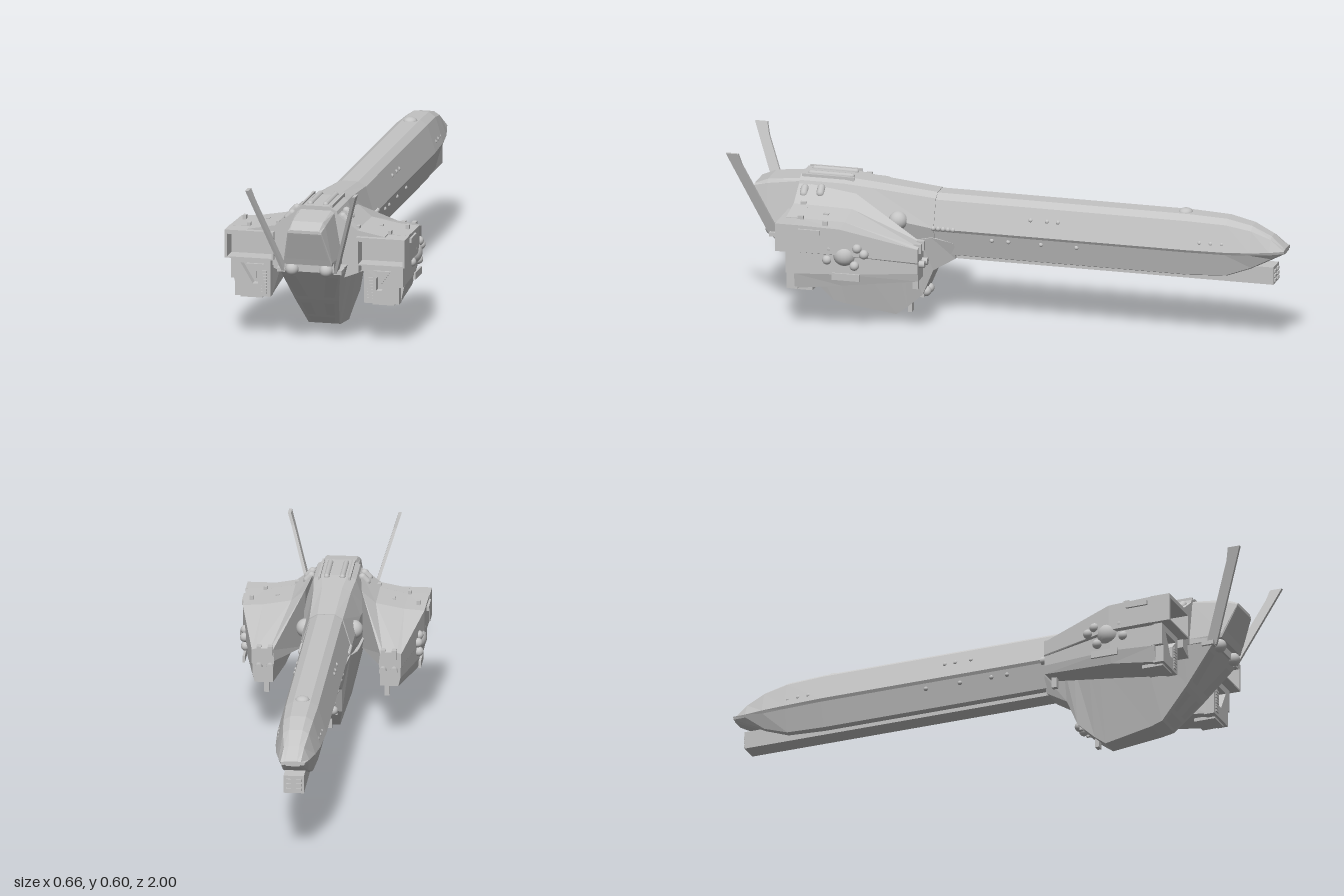
import * as THREE from 'three';

const hull = new THREE.MeshStandardMaterial({ color: 0xc4c4c4, flatShading: true });
hull.name = 'hull grey';
const panelGrey = new THREE.MeshStandardMaterial({ color: 0xc0c0c0, side: THREE.DoubleSide });
panelGrey.name = 'panel grey';
const smooth = new THREE.MeshStandardMaterial({ color: 0xc4c4c4 });
smooth.name = 'smooth grey';

function add(parent, name, geometry, material = hull, pos = [0, 0, 0]) {
  const mesh = new THREE.Mesh(geometry, material);
  mesh.name = name;
  mesh.position.set(...pos);
  parent.add(mesh);
  return mesh;
}
const box = (parent, name, x0, x1, y0, y1, z0, z1) =>
  add(parent, name, new THREE.BoxGeometry(x1 - x0, y1 - y0, z1 - z0), hull,
    [(x0 + x1) / 2, (y0 + y1) / 2, (z0 + z1) / 2]);
const ball = (parent, name, r, pos) => add(parent, name, new THREE.SphereGeometry(r, 20, 14), smooth, pos);

// Skin over outlines [z, points], z ascending, points counterclockwise seen from +z
function loft(sections) {
  const v = [];
  const n = sections[0][1].length;
  const P = (i, j) => [...sections[i][1][j % n], sections[i][0]];
  for (let i = 0; i + 1 < sections.length; i++)
    for (let j = 0; j < n; j++)
      v.push(...P(i, j), ...P(i, j + 1), ...P(i + 1, j + 1), ...P(i, j), ...P(i + 1, j + 1), ...P(i + 1, j));
  const cap = (i, flip) => {
    const pts = sections[i][1].map(p => new THREE.Vector2(...p));
    for (const f of THREE.ShapeUtils.triangulateShape(pts, []))
      for (const k of flip ? [f[0], f[2], f[1]] : f) v.push(...P(i, k));
  };
  cap(0, true);
  cap(sections.length - 1, false);
  const g = new THREE.BufferGeometry();
  g.setAttribute('position', new THREE.Float32BufferAttribute(v, 3));
  g.computeVertexNormals();
  return g;
}
// Right half outline, top to bottom, completed by its mirror image
const both = half => [...half.map(([x, y]) => [-x, y]), ...[...half].reverse()];
const symmetric = rows => loft(rows.map(([z, ...half]) => [z, both(half)]));
const clockwise = rows => loft(rows.map(([z, ...pts]) => [z, pts.reverse()]));

function extrude(points, depth, hole) {
  const shape = new THREE.Shape(points.map(p => new THREE.Vector2(...p)));
  if (hole) shape.holes.push(new THREE.Path(hole.map(p => new THREE.Vector2(...p))));
  return new THREE.ExtrudeGeometry(shape, { depth, bevelEnabled: false });
}

// Depth of the sloping nose at a height
const nose = [[0.04, 0.645], [0.15, 0.75], [0.31, 0.885], [0.436, 0.935]];
function noseZ(y) {
  let i = 0;
  while (i < 2 && y > nose[i + 1][0]) i++;
  const [a, b] = [nose[i], nose[i + 1]];
  return a[1] + (b[1] - a[1]) * (y - a[0]) / (b[0] - a[0]) + 0.004;
}
function nosePlate(parent, name, corners) {
  const p = corners.map(([x, y]) => [x, y, noseZ(y)]);
  const g = new THREE.BufferGeometry();
  g.setAttribute('position', new THREE.Float32BufferAttribute([0, 1, 2, 0, 2, 3].flatMap(i => p[i]), 3));
  g.computeVertexNormals();
  add(parent, name, g, panelGrey);
}

function buildSide() {
  const side = new THREE.Group();
  // Wing and pod in one skin, tapering to the rear
  add(side, 'wingPod', clockwise([
    [0.28, [0.19, 0.32], [0.2, 0.325], [0.25, 0.325], [0.265, 0.32], [0.265, 0.27], [0.262, 0.265],
      [0.262, 0.23], [0.255, 0.2], [0.19, 0.2], [0.19, 0.25], [0.185, 0.28]],
    [0.55, [0.1, 0.455], [0.15, 0.413], [0.25, 0.395], [0.322, 0.39], [0.322, 0.295], [0.31, 0.29],
      [0.31, 0.22], [0.297, 0.175], [0.17, 0.175], [0.165, 0.26], [0.1, 0.245]],
    [0.72, [0.08, 0.47], [0.15, 0.416], [0.25, 0.397], [0.325, 0.395], [0.325, 0.295], [0.31, 0.29],
      [0.31, 0.21], [0.297, 0.152], [0.17, 0.152], [0.17, 0.26], [0.1, 0.24]]]));
  add(side, 'wingRoot', clockwise([0.71, 0.765].map(z =>
    [z, [0.07, 0.475], [0.15, 0.416], [0.25, 0.397], [0.25, 0.39], [0.155, 0.38], [0.155, 0.262], [0.1, 0.24]])));
  // Open intake frame and lower pod front
  add(side, 'intakeFrame', extrude([[0.15, 0.293], [0.327, 0.293], [0.327, 0.395], [0.15, 0.395]], 0.075,
    [[0.157, 0.298], [0.157, 0.38], [0.319, 0.38], [0.319, 0.298]]), hull, [0, 0, 0.71]);
  add(side, 'podFront', extrude([[0.17, 0.15], [0.298, 0.15], [0.298, 0.212], [0.312, 0.212], [0.312, 0.295], [0.17, 0.295]],
    0.04, [[0.183, 0.27], [0.278, 0.27], [0.234, 0.196], [0.215, 0.196], [0.215, 0.24]]), hull, [0, 0, 0.71]);
  add(side, 'recessBracket', extrude([[0.2, 0.262], [0.262, 0.262], [0.225, 0.21], [0.225, 0.235]], 0.015), hull, [0, 0, 0.715]);
  for (let i = 0; i < 8; i++) {
    const y = 0.161 + i * 0.0108;
    box(side, 'ladderRung', 0.182, 0.204, y, y + 0.008, 0.745, 0.754);
  }
  box(side, 'podFoot', 0.2, 0.28, 0.143, 0.156, 0.66, 0.74);
  box(side, 'podEdgePlate', 0.322, 0.332, 0.365, 0.382, 0.62, 0.7);
  box(side, 'podSidePlate', 0.308, 0.316, 0.2, 0.225, 0.48, 0.58);
  // Domes on the pod flank
  ball(side, 'podDome', 0.043, [0.288, 0.29, 0.54]);
  for (const [y, z] of [[0.315, 0.59], [0.32, 0.49], [0.3, 0.465], [0.255, 0.5], [0.27, 0.6]])
    ball(side, 'podDomeSmall', 0.017, [0.307, y, z]);
  // Top hatches and studs
  for (const [x, z] of [[0.2, 0.62], [0.25, 0.7], [0.29, 0.6], [0.14, 0.72]])
    box(side, 'podStud', x, x + 0.012, 0.385, x < 0.15 ? 0.425 : 0.408, z, z + 0.02);
  // Rear pod fittings
  for (const x of [0.2, 0.24]) {
    box(side, 'rearLug', x - 0.008, x + 0.008, 0.3, 0.334, 0.272, 0.3);
    add(side, 'rearNozzle', new THREE.CylinderGeometry(0.013, 0.013, 0.03, 14).rotateX(Math.PI / 2), smooth, [x, 0.26, 0.275]);
  }
  box(side, 'rearPost', 0.205, 0.222, 0.16, 0.21, 0.29, 0.31);
  // Body side dome, shoulder canisters and headlight
  ball(side, 'bodyDome', 0.034, [0.085, 0.365, 0.4]);
  for (const [x, y, z] of [[0.1, 0.45, 0.74], [0.098, 0.455, 0.68]]) {
    const can = add(side, 'shoulderCanister', new THREE.CapsuleGeometry(0.014, 0.022, 6, 14), smooth, [x, y, z]);
    can.rotation.z = 0.75;
  }
  ball(side, 'headlight', 0.024, [0.062, 0.289, 0.868]);
  // Antenna blade leaning out and forward
  const blade = extrude([[0.83, 0.28], [0.87, 0.28], [0.985, 0.56], [1, 0.597], [0.955, 0.597], [0.945, 0.555]], 0.011).rotateY(-Math.PI / 2);
  const p = blade.attributes.position;
  for (let i = 0; i < p.count; i++) p.setX(i, p.getX(i) + 0.1 + (p.getY(i) - 0.28) * 0.315);
  blade.computeVertexNormals();
  add(side, 'antenna', blade);
  box(side, 'antennaBase', 0.088, 0.117, 0.275, 0.29, 0.82, 0.865);
  // Nose panels
  nosePlate(side, 'upperNosePanel', [[0.055, 0.257], [0.1, 0.257], [0.068, 0.165], [0.03, 0.165]]);
  nosePlate(side, 'lowerNosePanel', [[0.025, 0.135], [0.06, 0.135], [0.05, 0.08], [0.02, 0.08]]);
  // Boom studs and side rail
  for (const [z, y, x] of [[-0.08, 0.4, 0.067], [-0.14, 0.4, 0.067], [-0.18, 0.4, 0.067], [-0.7, 0.37, 0.072], [-0.74, 0.37, 0.07],
    [-0.78, 0.37, 0.067], [0.06, 0.315, 0.075], [0, 0.315, 0.075], [-0.12, 0.315, 0.075], [-0.25, 0.315, 0.075]])
    ball(side, 'boomStud', 0.008, [x, y, z]);
  for (let i = 0; i < 5; i++) ball(side, 'boomRailStud', 0.009, [0.084, 0.345, 0.2 + i * 0.018]);
  // Spine pipe
  add(side, 'spinePipe', new THREE.CapsuleGeometry(0.01, 0.15, 6, 12).rotateX(Math.PI / 2), smooth, [0.028, 0.495, 0.66]);
  box(side, 'spineRail', 0.05, 0.058, 0.47, 0.499, 0.57, 0.76);
  // Belly rear strut
  box(side, 'bellyStrut', 0.025, 0.036, 0.07, 0.19, 0.32, 0.335);
  return side;
}

export function createModel() {
  const ship = new THREE.Group();
  ship.name = 'ship';
  // Long rear boom
  const boomAt = (z, w, top, mid, bottom) => [z, [0.03 * w, top], [0.057 * w, top - (top - mid) * 0.15],
    [0.087 * w, mid + 0.004], [0.081 * w, mid - 0.006], [0.057 * w, bottom + 0.005], [0.045 * w, bottom]];
  add(ship, 'boom', symmetric([
    boomAt(-1, 0.5, 0.358, 0.35, 0.34), boomAt(-0.95, 0.63, 0.4, 0.345, 0.315), boomAt(-0.88, 0.8, 0.434, 0.342, 0.28),
    boomAt(-0.79, 0.92, 0.454, 0.34, 0.247), boomAt(-0.65, 1, 0.46, 0.34, 0.24), boomAt(0.3, 1, 0.462, 0.34, 0.24)]));
  box(ship, 'keel', -0.036, 0.036, 0.226, 0.29, -0.96, 0.25);
  for (let i = 0; i < 6; i++) {
    const [x, y] = [-0.018 + (i % 2) * 0.036, 0.24 + Math.floor(i / 2) * 0.017];
    box(ship, 'keelVent', x - 0.009, x + 0.009, y - 0.005, y + 0.005, -0.966, -0.958);
  }
  const bump = ball(ship, 'boomDome', 0.025, [0, 0.458, -0.63]);
  bump.scale.y = 0.6;
  // Upper body
  add(ship, 'upperBody', symmetric([
    [0.27, [0.031, 0.464], [0.059, 0.448], [0.09, 0.345], [0.06, 0.24]],
    [0.5, [0.036, 0.485], [0.067, 0.47], [0.1, 0.38], [0.1, 0.28]],
    [0.6, [0.045, 0.496], [0.075, 0.48], [0.11, 0.38], [0.11, 0.28]],
    [0.765, [0.045, 0.496], [0.075, 0.48], [0.11, 0.38], [0.11, 0.28]]]));
  // Cockpit
  add(ship, 'cockpit', symmetric([
    [0.76, [0.055, 0.482], [0.067, 0.474], [0.094, 0.32], [0.094, 0.29]],
    [0.885, [0.055, 0.468], [0.064, 0.455], [0.088, 0.322], [0.086, 0.31]],
    [0.935, [0.052, 0.447], [0.06, 0.442], [0.062, 0.439], [0.06, 0.436]]]));
  nosePlate(ship, 'cockpitWindow', [[-0.058, 0.432], [0.058, 0.432], [0.077, 0.334], [-0.077, 0.334]]);
  // Deep lower hull
  const lower = (z, wide, top, narrow, bottom) => [z, [wide, top], [narrow, bottom]];
  add(ship, 'lowerHull', symmetric([
    lower(0.2, 0.07, 0.29, 0.05, 0.228), lower(0.28, 0.085, 0.31, 0.055, 0.18), lower(0.32, 0.09, 0.3, 0.052, 0.085),
    lower(0.38, 0.1, 0.29, 0.04, 0.03), lower(0.42, 0.105, 0.29, 0.036, 0), lower(0.6, 0.115, 0.288, 0.05, 0.028),
    lower(0.645, 0.115, 0.288, 0.056, 0.04), lower(0.75, 0.115, 0.288, 0.08, 0.15), lower(0.865, 0.113, 0.29, 0.109, 0.286)]));
  box(ship, 'noseBridge', -0.09, 0.09, 0.28, 0.315, 0.7, 0.868);
  nosePlate(ship, 'chinSlot', [[-0.048, 0.07], [0.048, 0.07], [0.042, 0.045], [-0.042, 0.045]]);
  box(ship, 'bellyFin', -0.012, 0.012, 0.004, 0.05, 0.37, 0.385);
  for (const x of [-0.02, 0.02]) ball(ship, 'bellyDome', 0.018, [x, 0.09, 0.315]);
  // Left and right sides
  for (const s of [1, -1]) {
    const side = buildSide();
    side.name = s > 0 ? 'leftSide' : 'rightSide';
    side.scale.x = s;
    ship.add(side);
  }
  return ship;
}
